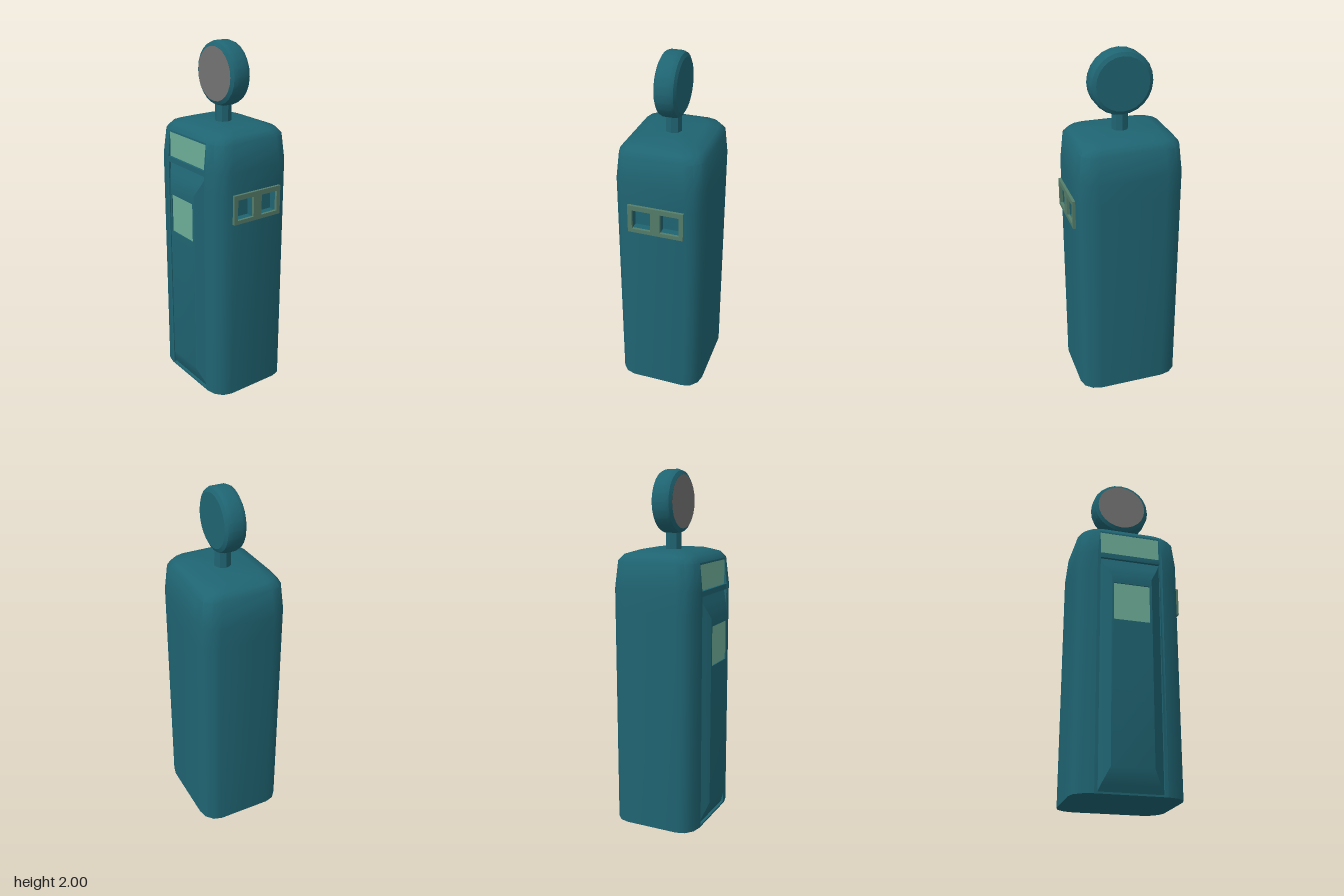
import * as THREE from 'three';
import { toCreasedNormals } from 'three/addons/utils/BufferGeometryUtils.js';

const CX = -0.009, CZ = -0.0175; // body axis
const FRONT = 0.236, SIDE = 0.291;
const mat = (color) => new THREE.MeshStandardMaterial({ color });
const teal = mat(0x1f6472), glass = mat(0x6dad97), trim = mat(0x547c69), dial = mat(0x727272);

function mesh(name, geometry, material) {
  const m = new THREE.Mesh(geometry, material);
  m.name = name;
  return m;
}

function fromTriangles(points, crease = 0.8) {
  const g = new THREE.BufferGeometry();
  g.setAttribute('position', new THREE.Float32BufferAttribute(points.flat(), 3));
  return toCreasedNormals(g, crease);
}

// Rounded rectangle at height y: inset from the walls, corners scaled by k
function ring(y, inset, k) {
  const pts = [], rx = 0.11 * k, rz = 0.097 * k;
  for (let c = 0; c < 4; c++) {
    const sx = c === 0 || c === 3 ? 1 : -1, sz = c < 2 ? 1 : -1;
    for (let j = 0; j < 4; j++) {
      const a = (c * 3 + j) * Math.PI / 6;
      pts.push([CX + sx * (0.3 - inset - rx) + rx * Math.cos(a), y,
        CZ + sz * (0.2535 - inset - rz) + rz * Math.sin(a)]);
    }
  }
  return pts;
}

// Cabinet shell, leaving out the front wall and the band behind the side plate
function shell() {
  const rings = [[0, 0, 1], [1.075, 0, 1], [1.24, 0, 1], [1.36, 0, 1], [1.51, 0.014, 1],
    [1.545, 0.042, 0.95], [1.565, 0.105, 0.75]].map((r) => ring(...r));
  const t = [], last = rings.length - 1;
  for (let i = 0; i < 16; i++) {
    const n = (i + 1) % 16;
    for (let r = 0; r < last; r++) {
      if ((i === 3 && r < 4) || (i === 15 && r === 1)) continue;
      const lo = rings[r], up = rings[r + 1];
      t.push(lo[i], up[i], lo[n], lo[n], up[i], up[n]);
    }
    t.push([CX, 0, CZ], rings[0][i], rings[0][n]);
    t.push([CX, 1.565, CZ], rings[last][n], rings[last][i]);
  }
  return fromTriangles(t);
}

const rectPoints = (h, y0, y1) => [[-h, y0], [h, y0], [h, y1], [-h, y1]].map((p) => new THREE.Vector2(...p));

// Front wall with openings for the door and the display; leans back near the top
function frontWall() {
  const s = new THREE.Shape([[-0.19, 0], [0.19, 0], [0.19, 1.36], [0.176, 1.51], [-0.176, 1.51], [-0.19, 1.36]]
    .map((p) => new THREE.Vector2(...p)));
  s.holes.push(new THREE.Path(rectPoints(0.173, 0.01, 1.33)), new THREE.Path(rectPoints(0.173, 1.36, 1.5)));
  const g = new THREE.ShapeGeometry(s), p = g.attributes.position;
  for (let i = 0; i < p.count; i++) p.setZ(i, FRONT - Math.max(0, p.getY(i) - 1.36) / 0.15 * 0.014);
  g.translate(CX, 0, 0);
  g.computeVertexNormals();
  return g;
}

// Nested rectangles [halfWidth, y0, y1, zBottom, zTop] joined by faces
function nested(rects, capped = false, crease = 0.3) {
  const t = [];
  const rs = rects.map(([h, y0, y1, z0, z1 = z0]) => [[-h, y0, z0], [h, y0, z0], [h, y1, z1], [-h, y1, z1]]);
  for (let r = 0; r + 1 < rs.length; r++) {
    for (let i = 0; i < 4; i++) {
      const n = (i + 1) % 4, A = rs[r], B = rs[r + 1];
      t.push(A[i], A[n], B[n], A[i], B[n], B[i]);
    }
  }
  if (capped) {
    const e = rs[rs.length - 1];
    t.push(e[0], e[1], e[2], e[0], e[2], e[3]);
  }
  return fromTriangles(t, crease);
}

function pane(name, h, y0, y1, z) {
  const m = mesh(name, new THREE.PlaneGeometry(2 * h, y1 - y0), glass);
  m.position.set(CX, (y0 + y1) / 2, z);
  return m;
}

export function createModel() {
  const model = new THREE.Group();
  model.name = 'fuelPump';

  const cabinet = new THREE.Group();
  cabinet.name = 'cabinet';
  cabinet.add(mesh('shell', shell(), teal), mesh('frontWall', frontWall(), teal));
  model.add(cabinet);

  // Raised door in a shallow recess, with a window sunk into it
  const door = mesh('door', nested([
    [0.173, 0.01, 1.33, FRONT], [0.173, 0.01, 1.33, 0.22], [0.155, 0.05, 1.285, FRONT],
    [0.115, 0.13, 1.206, 0.266], [0.103, 0.937, 1.16, 0.266], [0.103, 0.937, 1.16, 0.26],
  ], false, 0.5), teal);
  door.position.x = CX;
  model.add(door, pane('doorWindow', 0.103, 0.937, 1.16, 0.26));

  // Display above the door
  const displayRecess = mesh('displayRecess', nested([
    [0.173, 1.36, 1.5, FRONT, 0.223], [0.173, 1.36, 1.5, 0.222],
  ]), teal);
  displayRecess.position.x = CX;
  model.add(displayRecess, pane('display', 0.173, 1.36, 1.5, 0.222));

  // Side plate with two pockets
  const side = new THREE.Group();
  side.name = 'sidePlate';
  const plate = new THREE.Shape(rectPoints(0.157, 1.075, 1.24));
  for (const s of [-1, 1]) {
    const offset = s * 0.08;
    plate.holes.push(new THREE.Path(rectPoints(0.053, 1.097, 1.212).map((p) => p.setX(p.x + offset))));
    const pocket = mesh('pocket', nested([[0.053, 1.097, 1.212, 0], [0.053, 1.097, 1.212, -0.04]], true), teal);
    pocket.position.x = offset;
    side.add(pocket);
  }
  side.add(mesh('plate', new THREE.ExtrudeGeometry(plate, { depth: 0.016, bevelEnabled: false }), trim));
  side.rotation.y = Math.PI / 2;
  side.position.set(SIDE, 0, CZ);
  model.add(side);

  // Neck and round globe on the roof
  const neck = mesh('neck', toCreasedNormals(new THREE.CylinderGeometry(0.046, 0.046, 0.14, 8), 0.5), teal);
  neck.position.set(CX, 1.62, CZ);
  model.add(neck);

  const globe = new THREE.Group();
  globe.name = 'globe';
  const profile = [[0, -0.061], [0.147, -0.061], [0.167, -0.05], [0.175, -0.03],
    [0.175, 0.03], [0.167, 0.05], [0.147, 0.061], [0, 0.061]].map((p) => new THREE.Vector2(...p));
  const rim = mesh('globeBody', toCreasedNormals(new THREE.LatheGeometry(profile, 24), 0.45), teal);
  rim.rotation.x = Math.PI / 2;
  const face = mesh('globeFace', new THREE.CircleGeometry(0.147, 24), dial);
  face.position.z = 0.0625;
  globe.add(rim, face);
  globe.position.set(CX, 1.825, CZ);
  model.add(globe);

  return model;
}
